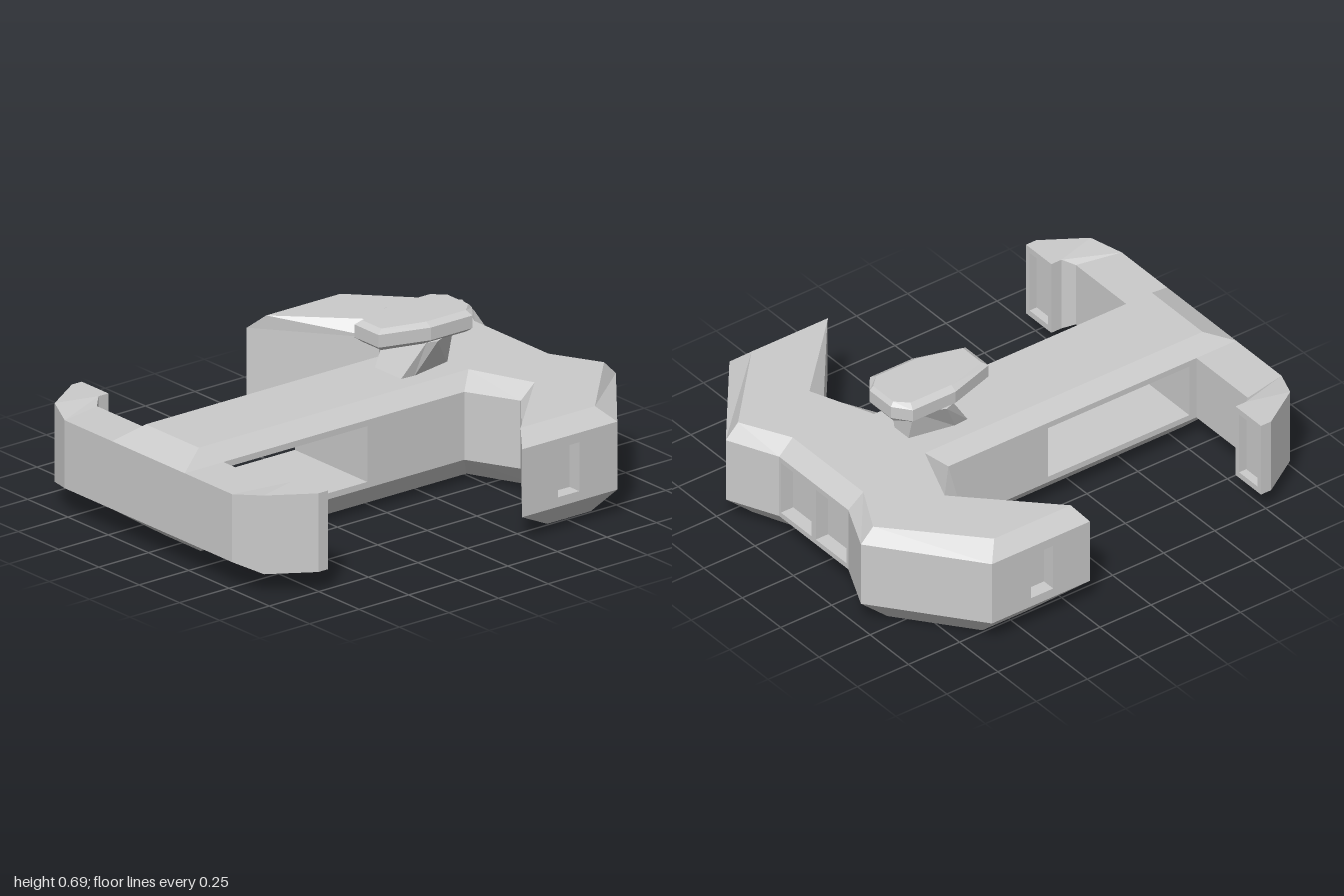
import * as THREE from 'three';

const material = new THREE.MeshStandardMaterial({ color: 0xcccccc, flatShading: true });
const V = (x, y, z) => new THREE.Vector3(x, y, z);

// Triangle collector for flat-sided bodies
class Builder {
  constructor() { this.tris = []; }

  quad(a, b, c, d) { this.tris.push(a, b, c, a, c, d); }

  // Quad with a rectangular opening: u runs a->d, v runs a->b
  panel(a, b, c, d, { u: [u0, u1], v: [v0, v1], depth, floor = true }) {
    const at = (u, v) => a.clone().lerp(d, u).lerp(b.clone().lerp(c, u), v);
    const n = b.clone().sub(a).cross(c.clone().sub(b)).normalize();
    const outer = [a, b, c, d];
    const rim = [at(u0, v0), at(u0, v1), at(u1, v1), at(u1, v0)];
    const back = rim.map(p => p.clone().addScaledVector(n, -depth));
    for (let i = 0; i < 4; i++) {
      const j = (i + 1) % 4;
      this.quad(outer[i], outer[j], rim[j], rim[i]);
      if (depth > 0) this.quad(rim[i], rim[j], back[j], back[i]);
    }
    if (floor) this.quad(...back);
  }

  // Flat cap over a possibly concave ring
  cap(ring, up) {
    const flat = ring.map(p => new THREE.Vector2(p.x, p.z));
    for (const [i, j, k] of THREE.ShapeUtils.triangulateShape(flat, [])) {
      const [a, b, c] = [ring[i], ring[j], ring[k]];
      const facesUp = b.clone().sub(a).cross(c.clone().sub(a)).y > 0;
      this.tris.push(a, ...(facesUp === up ? [b, c] : [c, b]));
    }
  }

  // Stack of rings from bottom to top; openings are keyed by wall index on one level
  stack(rings, openings = {}, openLevel = -1) {
    for (let k = 0; k < rings.length - 1; k++) {
      const lo = rings[k], hi = rings[k + 1];
      for (let i = 0; i < lo.length; i++) {
        const j = (i + 1) % lo.length;
        const face = [lo[i], hi[i], hi[j], lo[j]];
        if (k === openLevel && openings[i]) this.panel(...face, openings[i]);
        else this.quad(...face);
      }
    }
    this.cap(rings[0], false);
    this.cap(rings[rings.length - 1], true);
  }

  mesh(name, mirrored = false) {
    let pts = this.tris;
    if (mirrored) pts = pts.map(p => V(-p.x, p.y, p.z)).reverse();
    const geometry = new THREE.BufferGeometry().setFromPoints(pts);
    geometry.computeVertexNormals();
    const mesh = new THREE.Mesh(geometry, material);
    mesh.name = name;
    return mesh;
  }
}

// Symmetric ring at height y from its +x half, listed back to front
function ring(y, half) {
  const other = half.filter(([x]) => x > 0).reverse().map(([x, z]) => [-x, z]);
  return [...half, ...other].map(([x, z]) => V(x, y, z));
}

// Swept wings and central neck as one bevelled body
function buildHull() {
  const bottom = [[0, -0.77], [0.2, -0.77], [0.44, -0.87], [0.74, -0.63],
    [0.74, -0.41], [0.44, -0.66], [0.115, -0.51], [0.115, 0.83]];
  const wall = [[0, -0.9], [0.225, -0.9], [0.44, -1], [0.855, -0.67],
    [0.855, -0.19], [0.44, -0.52], [0.225, -0.41], [0.225, 1]];
  const top = [[0, -0.83], [0.23, -0.83], [0.44, -0.94], [0.79, -0.61],
    [0.79, -0.235], [0.44, -0.59], [0.165, -0.48], [0.165, 0.88]];
  const openings = {
    // rear bays
    0: { u: [0.06, 0.95], v: [0.08, 0.92], depth: 0.06 },
    14: { u: [0.05, 0.94], v: [0.08, 0.92], depth: 0.06 },
    // wing side ports
    3: { u: [0.4, 0.625], v: [0.14, 0.86], depth: 0.06 },
    11: { u: [0.375, 0.6], v: [0.14, 0.86], depth: 0.06 },
    // window straight through the neck
    6: { u: [0.347, 0.837], v: [0.09, 0.91], depth: 0.45, floor: false },
    8: { u: [0.163, 0.653], v: [0.09, 0.91], depth: 0, floor: false },
  };
  const b = new Builder();
  b.stack([ring(0, bottom), ring(0.115, wall), ring(0.4, wall), ring(0.46, top)], openings, 1);
  return b.mesh('hull');
}

// Hooked front arm with a recessed tip
function buildArm(name, mirrored) {
  // [outer x, outer z, inner x, inner z, low y, high y]
  const sections = [
    [0.2, 1, 0.2, 0.805, 0.115, 0.4],
    [0.52, 1, 0.56, 0.805, 0.115, 0.4],
    [0.65, 0.945, 0.6, 0.765, 0.09, 0.42],
    [0.765, 0.765, 0.6, 0.74, 0.09, 0.42],
    [0.765, 0.715, 0.6, 0.715, 0.09, 0.42],
  ].map(([ox, oz, ix, iz, lo, hi]) => [V(ox, lo, oz), V(ox, hi, oz), V(ix, hi, iz), V(ix, lo, iz)]);
  const b = new Builder();
  for (let k = 0; k < sections.length - 1; k++) {
    const s = sections[k], t = sections[k + 1];
    for (let i = 0; i < 4; i++) {
      const j = (i + 1) % 4;
      b.quad(s[i], t[i], t[j], s[j]);
    }
  }
  const [fl, fh, bh, bl] = sections[sections.length - 1];
  b.panel(bl, bh, fh, fl, { u: [0.14, 0.86], v: [0.08, 0.92], depth: 0.035 });
  return b.mesh(name, mirrored);
}

// Flared pedestal under the raised bridge
function buildPedestal() {
  const b = new Builder();
  b.stack([
    ring(0.455, [[0.045, -0.47], [0.085, -0.27], [0.08, -0.205]]),
    ring(0.6, [[0.08, -0.47], [0.135, -0.35], [0.12, -0.305]]),
  ]);
  return b.mesh('bridgePedestal');
}

// Elongated bridge deck with bevelled rims
function buildBridge() {
  const rim = [[0.07, -0.575], [0.14, -0.52], [0.14, -0.31], [0.075, -0.1]];
  const inset = [[0.065, -0.56], [0.112, -0.51], [0.112, -0.31], [0.06, -0.125]];
  const b = new Builder();
  b.stack([ring(0.595, inset), ring(0.615, rim), ring(0.668, rim), ring(0.685, inset)]);
  return b.mesh('bridgeDeck');
}

export function createModel() {
  const model = new THREE.Group();
  model.name = 'spacecraft';
  model.add(
    buildHull(),
    buildArm('leftFrontArm', false),
    buildArm('rightFrontArm', true),
    buildPedestal(),
    buildBridge(),
  );
  return model;
}
